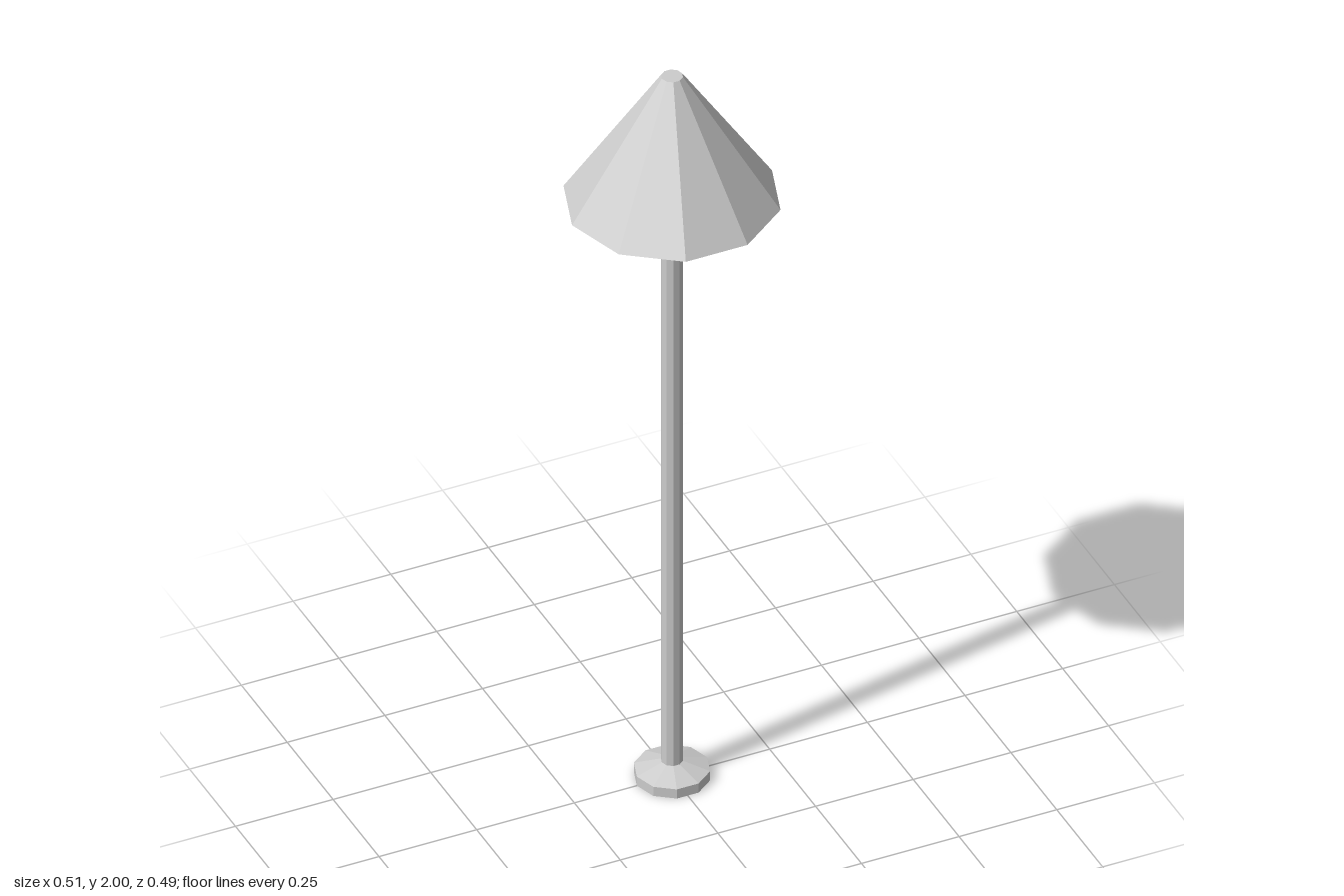
import * as THREE from 'three';

const SIDES = 10;

export function createModel() {
  const group = new THREE.Group();
  const solid = new THREE.MeshStandardMaterial({ color: 0xcccccc, flatShading: true });
  const thin = solid.clone();
  thin.side = THREE.DoubleSide;

  // Ten-sided frustum from y0 to y1, with corners on the x axis
  function frustum(name, y0, r0, y1, r1, open = false) {
    const geometry = new THREE.CylinderGeometry(r1, r0, y1 - y0, SIDES, 1, open);
    geometry.rotateY(Math.PI / 2).translate(0, (y0 + y1) / 2, 0);
    const mesh = new THREE.Mesh(geometry, open ? thin : solid);
    mesh.name = name;
    group.add(mesh);
  }

  // Foot: a low disc with a sloping top
  frustum('baseDisc', 0, 0.09, 0.026, 0.09);
  frustum('baseSlope', 0.026, 0.09, 0.047, 0.026);

  // Pole runs up through the shade and closes its top
  frustum('pole', 0.047, 0.026, 2, 0.026);

  // Open conical shade
  frustum('shade', 1.652, 0.256, 2, 0.026, true);

  return group;
}
